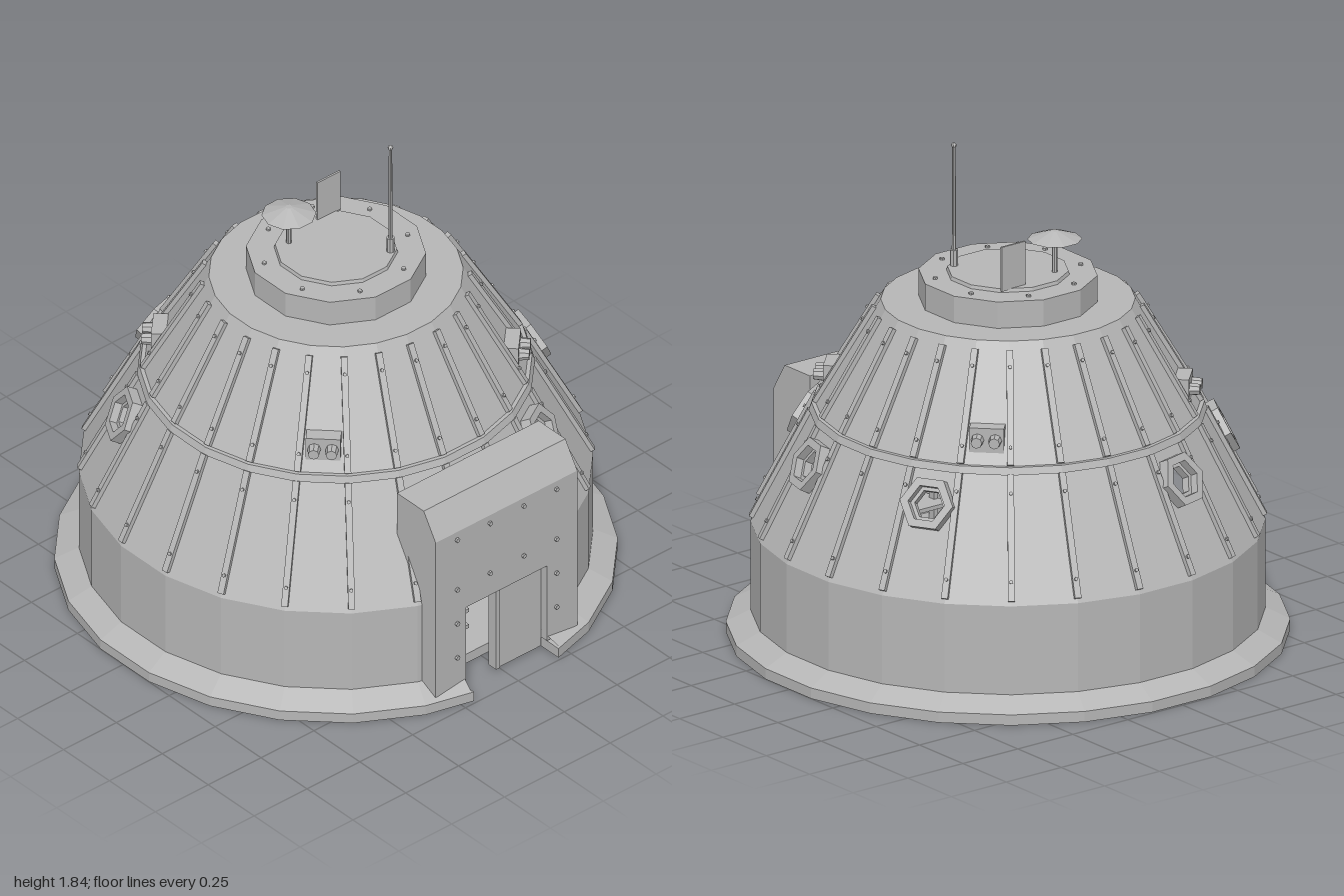
import * as THREE from 'three';

export function createModel() {
  const model = new THREE.Group();
  model.name = 'fieldHabitat';
  model.position.x = 0.0075;
  const grey = new THREE.MeshStandardMaterial({ color: 0xb6b6b6 });
  grey.name = 'hull grey';

  const N = 24, HALF = Math.PI / N;
  const group = (name) => {
    const g = new THREE.Group();
    g.name = name;
    model.add(g);
    return g;
  };
  // Adds a faceted mesh
  const add = (parent, name, geo, x = 0, y = 0, z = 0) => {
    const flat = geo.index ? geo.toNonIndexed() : geo;
    flat.computeVertexNormals();
    const m = new THREE.Mesh(flat, grey);
    m.name = name;
    m.position.set(x, y, z);
    parent.add(m);
    return m;
  };
  const box = (w, h, d) => new THREE.BoxGeometry(w, h, d);
  const cyl = (rt, rb, h, n) => new THREE.CylinderGeometry(rt, rb, h, n);
  const polygon = (n, r, Type = THREE.Shape) => {
    const pts = [];
    for (let i = 0; i < n; i++) {
      const a = (i / n) * Math.PI * 2;
      pts.push(new THREE.Vector2(Math.cos(a) * r, Math.sin(a) * r));
    }
    return new Type(pts);
  };

  // Local frame on a hull side: x along the side, y up the slope, z outward
  const sideFrame = (i, y0, a0, y1, a1) => {
    const t = (i / N) * Math.PI * 2, s = Math.sin(t), c = Math.cos(t);
    const u = new THREE.Vector3(c, 0, -s);
    const v = new THREE.Vector3(s * (a1 - a0), y1 - y0, c * (a1 - a0)).normalize();
    const n = new THREE.Vector3().crossVectors(u, v);
    return new THREE.Matrix4().makeBasis(u, v, n).setPosition(s * a0, y0, c * a0);
  };

  // One trapezoid side of a tier; t0..t1 trims it sideways, hole cuts a window
  const panel = (parent, i, [y0, r0], [y1, r1], t0 = 0, t1 = 1, holeAt = 0) => {
    const h0 = r0 * Math.sin(HALF), h1 = r1 * Math.sin(HALF);
    const a0 = r0 * Math.cos(HALF), a1 = r1 * Math.cos(HALF);
    const len = Math.hypot(y1 - y0, a1 - a0);
    const at = (h, t) => -h + 2 * h * t;
    const shape = new THREE.Shape([
      new THREE.Vector2(at(h0, t0), 0), new THREE.Vector2(at(h0, t1), 0),
      new THREE.Vector2(at(h1, t1), len), new THREE.Vector2(at(h1, t0), len)]);
    if (holeAt) {
      const p = polygon(6, 0.055, THREE.Path).getPoints().map((q) => q.add(new THREE.Vector2(0, holeAt)));
      shape.holes.push(new THREE.Path(p));
    }
    add(parent, 'hullPanel', new THREE.ShapeGeometry(shape).applyMatrix4(sideFrame(i, y0, a0, y1, a1)));
  };

  // Base slab with the entrance notch
  const base = group('baseFlange');
  const R = 1.008, edge = [];
  edge.push(new THREE.Vector2(0.79, -0.2), new THREE.Vector2(0.981, -0.2));
  for (let i = 1; i < N - 1; i++) {
    const a = -HALF - (i / N) * Math.PI * 2;
    edge.push(new THREE.Vector2(R * Math.cos(a), R * Math.sin(a)));
  }
  edge.push(new THREE.Vector2(0.981, 0.2), new THREE.Vector2(0.79, 0.2));
  const slab = new THREE.ExtrudeGeometry(new THREE.Shape(edge), { depth: 0.04, bevelEnabled: false });
  add(base, 'baseSlab', slab.rotateX(-Math.PI / 2));

  // Hull tiers, open behind the entrance on side 6
  const hull = group('hull');
  const tiers = [[0.04, R], [0.085, 0.92], [0.42, 0.92], [0.86, 0.692], [1.26, 0.455]];
  const windows = [8, 11, 14, 19, 22];
  const WINDOW = 0.345;
  for (let k = 0; k < 4; k++) {
    const trim = k === 0 ? 0.3 : k === 1 ? 0.75 : 0;
    for (let i = 0; i < N; i++) {
      if (k < 2 && i === 6) continue;
      const t0 = i === 7 ? trim : 0, t1 = i === 5 ? 1 - trim : 1;
      panel(hull, i, tiers[k], tiers[k + 1], t0, t1, k === 2 && windows.includes(i) ? WINDOW : 0);
    }
  }
  add(hull, 'hullRoof', cyl(0.455, 0.455, 0.004, N).rotateY(HALF), 0, 1.258, 0);
  // Belt between the two sloping tiers
  const belt = new THREE.LatheGeometry(
    [[0.69, 0.842], [0.712, 0.842], [0.702, 0.868], [0.68, 0.868]].map((p) => new THREE.Vector2(...p)),
    N, HALF);
  add(hull, 'belt', belt);

  // Ribs with bolts on every hull corner
  const ribs = group('ribs');
  const ribSpans = [[0.435, 0.84], [0.87, 1.23]];
  const rAt = (y) => (y < 0.86
    ? 0.92 + (y - 0.42) * (0.692 - 0.92) / 0.44
    : 0.692 + (y - 0.86) * (0.455 - 0.692) / 0.4);
  for (let i = 0; i < N; i++) {
    for (const [ya, yb] of ribSpans) {
      const ra = rAt(ya), rb = rAt(yb), len = Math.hypot(yb - ya, rb - ra);
      const frame = sideFrame(i + 0.5, ya, ra, yb, rb);
      add(ribs, 'rib', box(0.024, len, 0.03).translate(0, len / 2, 0).applyMatrix4(frame));
      for (const f of [0.15, 0.85]) {
        const bolt = cyl(0.007, 0.007, 0.008, 6).rotateX(Math.PI / 2).translate(0, len * f, 0.018);
        add(ribs, 'ribBolt', bolt.applyMatrix4(frame));
      }
    }
  }

  // Hexagonal portholes
  const ports = group('portholes');
  for (const i of windows) {
    const c = Math.cos(HALF);
    const ring = polygon(6, 0.102);
    ring.holes.push(polygon(6, 0.07, THREE.Path));
    const geo = new THREE.ExtrudeGeometry(ring, { depth: 0.05, bevelEnabled: false });
    const lip = polygon(6, 0.071);
    lip.holes.push(polygon(6, 0.055, THREE.Path));
    const lipGeo = new THREE.ExtrudeGeometry(lip, { depth: 0.03, bevelEnabled: false });
    const frame = sideFrame(i, 0.42, 0.92 * c, 0.86, 0.692 * c);
    add(ports, 'portholeFrame', geo.translate(0, WINDOW, -0.01).applyMatrix4(frame));
    add(ports, 'portholeLip', lipGeo.translate(0, WINDOW, -0.02).applyMatrix4(frame));
  }

  // Twin lamp housings on the diagonals
  for (let k = 0; k < 4; k++) {
    const lamps = group('lampHousing');
    lamps.rotation.y = Math.PI / 4 + k * Math.PI / 2;
    add(lamps, 'housing', box(0.125, 0.115, 0.09), 0, 0.942, 0.613);
    for (const x of [-0.032, 0.032]) {
      add(lamps, 'lamp', cyl(0.02, 0.024, 0.04, 8).rotateX(Math.PI / 2), x, 0.955, 0.675);
    }
  }

  // Entrance porch: header, legs, bolts and half-open door
  const porch = group('entrance');
  const profile = (pts, width, name, z) => {
    const s = new THREE.Shape(pts.map((p) => new THREE.Vector2(...p)));
    const g = new THREE.ExtrudeGeometry(s, { depth: width, bevelEnabled: false });
    add(porch, name, g.translate(0, 0, z - width / 2));
  };
  profile([[0.718, 0.38], [0.928, 0.38], [0.928, 0.733], [0.863, 0.838], [0.718, 0.838]], 0.67, 'porchHeader', 0);
  for (const s of [-1, 1]) {
    profile([[0.718, 0.03], [0.928, 0.05], [0.928, 0.38], [0.718, 0.38]], 0.143, 'porchLeg', s * 0.2635);
    for (const y of [0.18, 0.33, 0.48, 0.7]) {
      for (const z of y > 0.4 ? [0.08, 0.235] : [0.235]) {
        add(porch, 'porchBolt', cyl(0.009, 0.009, 0.012, 6).rotateZ(Math.PI / 2), 0.931, y, s * z);
      }
    }
  }
  add(porch, 'door', box(0.03, 0.37, 0.2), 0.88, 0.195, -0.092);
  add(porch, 'doorEdge', box(0.04, 0.37, 0.018), 0.88, 0.195, 0.016);

  // Equipment rack seen through the doorway
  const rack = group('equipmentRack');
  for (const y of [0.1, 0.17, 0.27]) add(rack, 'shelf', box(0.14, 0.015, 0.19), 0.66, y, 0.1);
  for (const z of [0.02, 0.18]) add(rack, 'rackPost', box(0.03, 0.34, 0.015), 0.66, 0.21, z);
  for (const [y, r] of [[0.128, 0.022], [0.2, 0.025], [0.25, 0.018]]) {
    add(rack, 'pipe', cyl(r, r, 0.16, 8).rotateX(Math.PI / 2), 0.7, y, 0.1);
  }
  add(rack, 'gauge', cyl(0.035, 0.035, 0.03, 12).rotateZ(Math.PI / 2), 0.7, 0.35, 0.14);
  add(rack, 'crate', box(0.1, 0.06, 0.09), 0.66, 0.07, 0.13);

  // Neck, hatch and bolts on the roof
  const top = group('roofHatch');
  add(top, 'neck', cyl(0.322, 0.322, 0.102, 12).rotateY(Math.PI / 12), 0, 1.309, 0);
  add(top, 'hatch', cyl(0.218, 0.222, 0.014, 12).rotateY(Math.PI / 12), 0, 1.366, 0);
  for (let k = 0; k < 8; k++) {
    const a = Math.PI / 8 + k * Math.PI / 4;
    add(top, 'neckBolt', cyl(0.009, 0.009, 0.008, 6), 0.27 * Math.sin(a), 1.363, 0.27 * Math.cos(a));
  }

  // Dish, whip antenna and flat panel antenna
  const masts = group('antennas');
  add(masts, 'dishMast', cyl(0.01, 0.01, 0.15, 8), -0.13, 1.435, 0.11);
  add(masts, 'dish', cyl(0.012, 0.098, 0.032, 10), -0.13, 1.514, 0.11);
  add(masts, 'whipBase', cyl(0.015, 0.015, 0.065, 8), 0.147, 1.4, -0.13);
  add(masts, 'whip', cyl(0.006, 0.008, 0.42, 8), 0.147, 1.62, -0.13);
  add(masts, 'whipTip', new THREE.SphereGeometry(0.01, 8, 6), 0.147, 1.828, -0.13);
  add(masts, 'panelAntenna', box(0.008, 0.168, 0.108), -0.168, 1.453, -0.11);

  return model;
}
